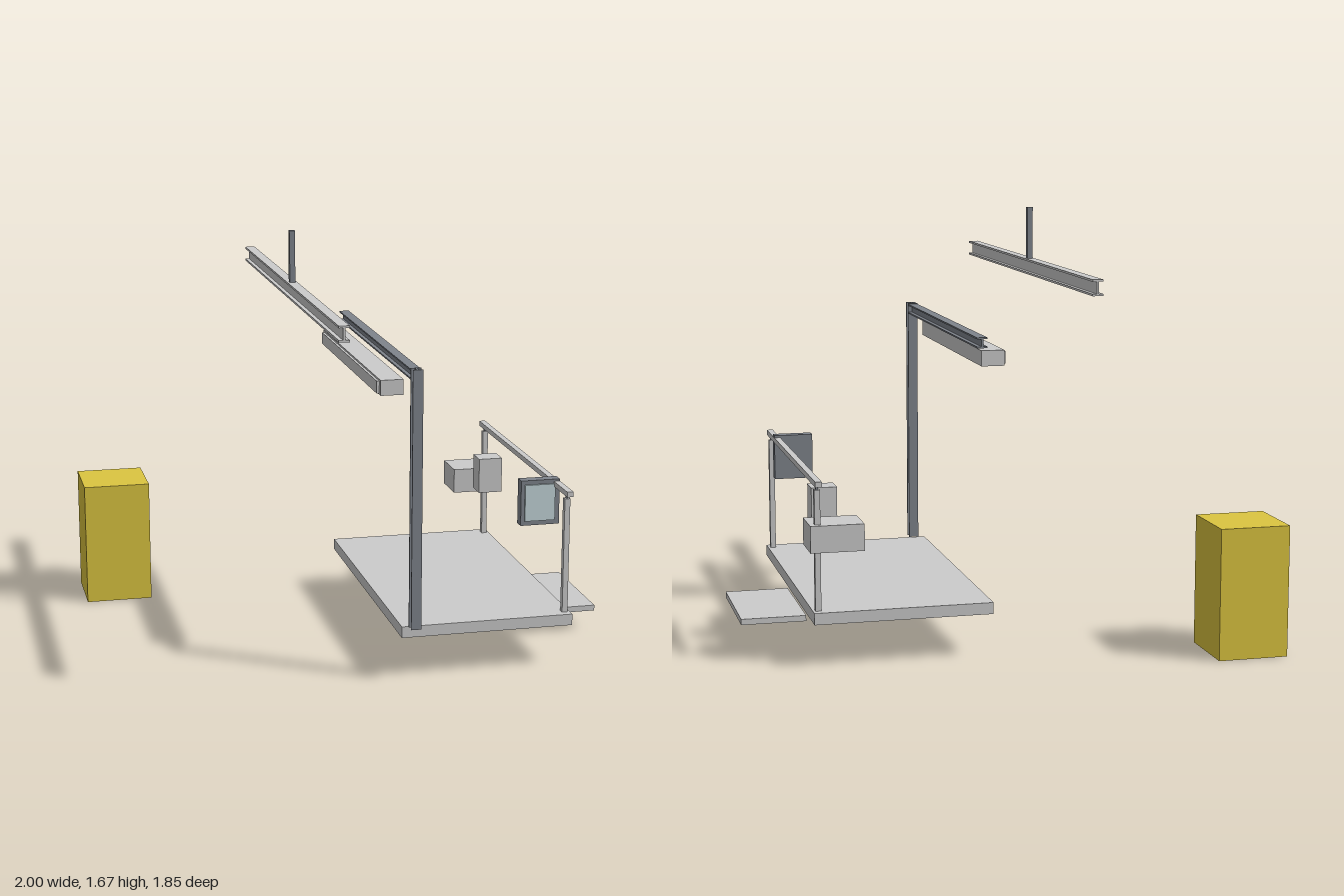
import * as THREE from 'three';

const material = (color) => new THREE.MeshStandardMaterial({ color, flatShading: true });

export function createModel() {
  const model = new THREE.Group();
  const grey = material(0xcccccc);
  const slate = material(0x7f848c);
  const yellow = material(0xdcc540);
  const glass = material(0xc4d6da);

  // Box given by its extents [min, max] along each axis
  function block(name, x, y, z, mat = grey) {
    const geometry = new THREE.BoxGeometry(x[1] - x[0], y[1] - y[0], z[1] - z[0]);
    geometry.translate((x[0] + x[1]) / 2, (y[0] + y[1]) / 2, (z[0] + z[1]) / 2);
    const mesh = new THREE.Mesh(geometry, mat);
    mesh.name = name;
    model.add(mesh);
    return mesh;
  }

  // I-section of width w, height h, extruded along +z, centred in x and y
  function iBeam(name, w, h, length, flange, web, mat) {
    const a = w / 2, b = h / 2, c = web / 2, d = b - flange;
    const outline = [[-a, -b], [a, -b], [a, -d], [c, -d], [c, d], [a, d],
      [a, b], [-a, b], [-a, d], [-c, d], [-c, -d], [-a, -d]];
    const shape = new THREE.Shape(outline.map(([x, y]) => new THREE.Vector2(x, y)));
    const geometry = new THREE.ExtrudeGeometry(shape, { depth: length, bevelEnabled: false });
    const mesh = new THREE.Mesh(geometry, mat);
    mesh.name = name;
    model.add(mesh);
    return mesh;
  }

  // Overhead hoist rail and its hanger
  iBeam('hoistRail', 0.04, 0.06, 1.85, 0.008, 0.008, grey).position.set(-0.217, 1.435, -0.925);
  block('hoistHanger', [-0.228, -0.206], [1.465, 1.67], [-0.011, 0.011], slate);

  // Portal: column and top beam
  const column = iBeam('portalColumn', 0.04, 0.04, 1.02, 0.006, 0.008, slate);
  column.rotation.x = -Math.PI / 2;
  column.position.set(0.13, 0.21, 0.625);
  iBeam('portalBeam', 0.04, 0.04, 1.205, 0.006, 0.008, slate).position.set(0.13, 1.206, -0.6);

  // Long housing beside the top beam
  block('housing', [0.02, 0.11], [1.105, 1.165], [-0.51, 0.505]);
  block('housingFace', [0.01, 0.02], [1.11, 1.158], [-0.488, 0.483]);

  // Floor and step
  block('platform', [0.085, 0.775], [0.165, 0.21], [-0.6, 0.6]);
  block('step', [0.745, 1], [0.085, 0.108], [-0.23, 0.228]);

  // Guard rail
  block('handrail', [0.741, 0.766], [0.687, 0.708], [-0.6, 0.6]);
  for (const side of [-1, 1]) {
    const z = 0.557 * side;
    block('railPost', [0.743, 0.765], [0.21, 0.672], [z - 0.012, z + 0.012]);
    block('railPin', [0.75, 0.758], [0.672, 0.687], [z - 0.005, z + 0.005], slate);
  }

  // Equipment boxes on the rail side
  block('largeControlBox', [0.58, 0.785], [0.437, 0.54], [-0.592, -0.427]);
  block('smallControlBox', [0.635, 0.735], [0.485, 0.632], [-0.325, -0.235]);

  // Display
  block('displayCase', [0.607, 0.765], [0.534, 0.717], [0.393, 0.437], slate);
  block('displayScreen', [0.622, 0.745], [0.553, 0.7], [0.437, 0.445], glass);

  // Free-standing cabinet
  block('cabinet', [-1, -0.725], [0, 0.51], [-0.88, -0.6], yellow);

  return model;
}
